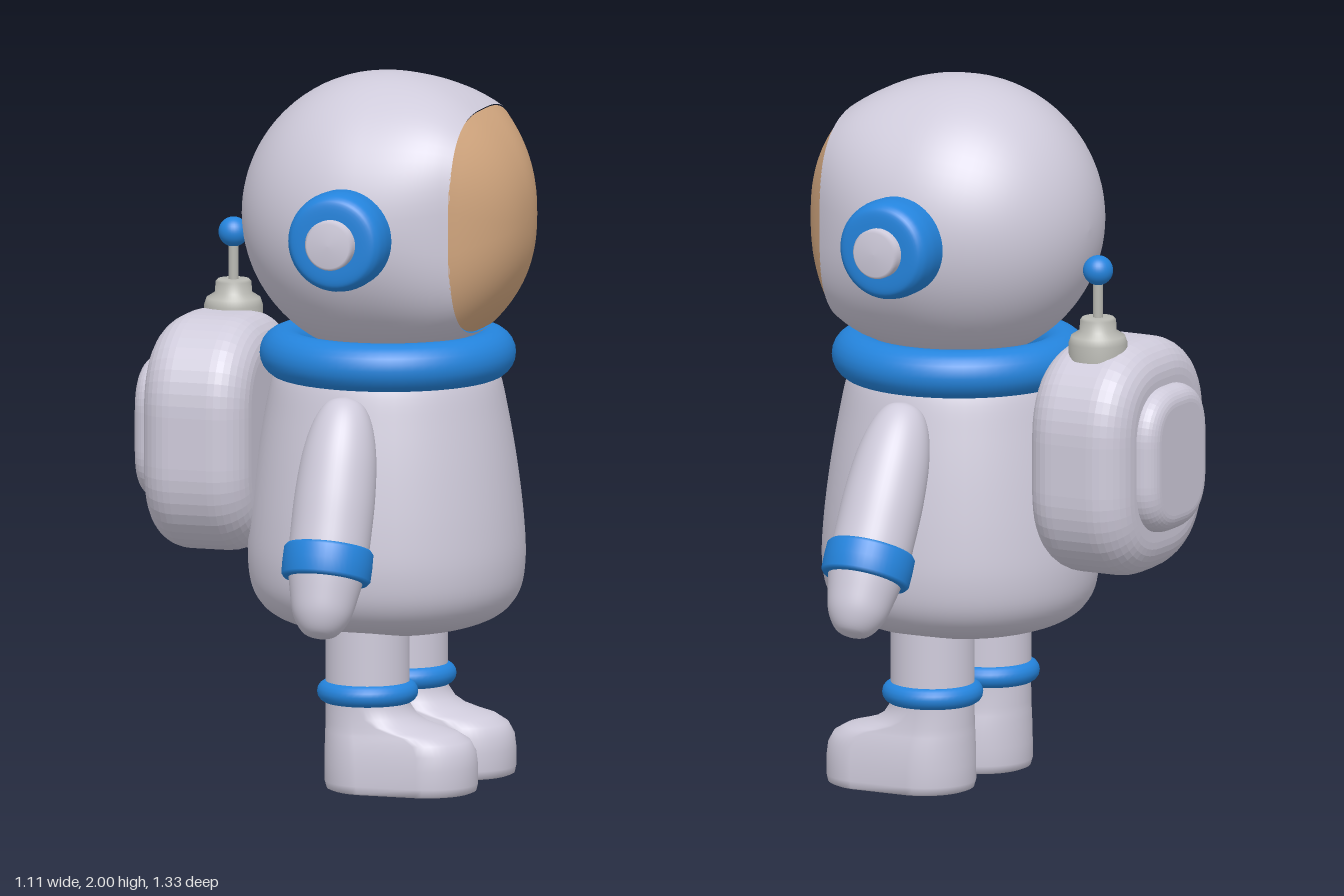
import * as THREE from 'three';

const mat = (color) => new THREE.MeshStandardMaterial({ color });
const suit = mat(0xcfcbdb), blue = mat(0x2484dd), tan = mat(0xd4a880), metal = mat(0xb9b9b3);
const CX = 0.135, CZ = 0.025; // the figure's upright axis; it looks towards +x

function add(parent, name, geometry, material, x = 0, y = 0, z = 0) {
  const mesh = new THREE.Mesh(geometry, material);
  mesh.name = name;
  mesh.position.set(x, y, z);
  parent.add(mesh);
  return mesh;
}

// Turned part from [radius, height] pairs listed upwards, optionally smoothed
function turned(pairs, smooth = true) {
  const pts = pairs.map(([r, y]) => new THREE.Vector2(r, y));
  const profile = smooth ? new THREE.SplineCurve(pts).getPoints(pts.length * 5) : pts;
  profile.forEach((p) => { p.x = Math.max(p.x, 0); });
  return new THREE.LatheGeometry(profile, 48);
}

// Skin over closed rings that turn right-handed about the direction of travel
function loft(rings) {
  const n = rings[0].length, index = [];
  for (let i = 0; i < rings.length - 1; i++) {
    for (let j = 0; j < n; j++) {
      const k = (j + 1) % n;
      const a = i * n + j, b = i * n + k, c = a + n, d = b + n;
      index.push(a, b, d, a, d, c);
    }
  }
  const g = new THREE.BufferGeometry();
  g.setAttribute('position', new THREE.Float32BufferAttribute(rings.flat(2), 3));
  g.setIndex(index);
  g.computeVertexNormals();
  return g;
}

// Superellipse ring across x: exponent 2 is round, higher is squarer
function headRing(x, ry, rz, e) {
  const bend = (v) => Math.sign(v) * Math.abs(v) ** (2 / e);
  return Array.from({ length: 72 }, (_, j) => {
    const t = (j / 72) * Math.PI * 2;
    return [x, ry * bend(Math.cos(t)), rz * bend(Math.sin(t))];
  });
}

// Level stadium ring for the boots
function bootRing([y, back, front, w]) {
  const straight = Math.max(0, (front - back) / 2 - w);
  return Array.from({ length: 48 }, (_, j) => {
    const t = ((j + 0.5) / 48) * Math.PI * 2, s = Math.sin(t);
    return [(back + front) / 2 + w * s + Math.sign(s) * straight, y, w * Math.cos(t)];
  });
}

// Cushion with rounded corners and soft edges, its thickness along +x
function cushion(width, height, depth, corner, bevel) {
  const a = width / 2 - bevel, b = height / 2 - bevel, r = corner;
  const s = new THREE.Shape();
  s.moveTo(-a + r, -b);
  s.lineTo(a - r, -b);
  s.quadraticCurveTo(a, -b, a, -b + r);
  s.lineTo(a, b - r);
  s.quadraticCurveTo(a, b, a - r, b);
  s.lineTo(-a + r, b);
  s.quadraticCurveTo(-a, b, -a, b - r);
  s.lineTo(-a, -b + r);
  s.quadraticCurveTo(-a, -b, -a + r, -b);
  const g = new THREE.ExtrudeGeometry(s, {
    depth: depth - 2 * bevel, bevelThickness: bevel, bevelSize: bevel, bevelSegments: 8, curveSegments: 12,
  });
  return g.translate(0, 0, bevel).rotateY(Math.PI / 2);
}

function buildHead(root) {
  const head = new THREE.Group();
  head.name = 'head';
  head.position.set(CX, 1.6, CZ);
  root.add(head);

  // Round at the back, squaring off towards the visor opening
  const rings = [];
  for (let i = 0; i <= 20; i++) {
    const t = (i / 20) * Math.PI / 2;
    rings.push(headRing(-0.405 * Math.cos(t), 0.4 * Math.sin(t), 0.39 * Math.sin(t), 2));
  }
  for (let i = 1; i <= 12; i++) {
    const u = i / 12, x = 0.285 * u, k = Math.sqrt(1 - (x / 0.455) ** 2);
    rings.push(headRing(x, 0.4 * k, 0.395 * k - 0.005, 2 + 0.9 * u * u));
  }
  add(head, 'helmet', loft(rings), suit);

  const dome = [];
  for (let i = 0; i <= 14; i++) {
    const r = 1 - i / 14;
    dome.push(headRing(0.283 + 0.132 * (1 - r ** 2.4), 0.308 * r, 0.305 * r, 2 + 0.9 * r));
  }
  add(head, 'visor', loft(dome), tan);

  // Ear discs with a cap on each side
  const disc = turned([[0.135, -0.08], [0.14, 0], [0.14, 0.045], [0.13, 0.08], [0.1, 0.095], [0, 0.095]]);
  const cap = turned([[0.07, 0.08], [0.07, 0.118], [0.062, 0.128], [0, 0.13]], false);
  for (const side of [1, -1]) {
    const ear = new THREE.Group();
    ear.name = 'earpiece';
    ear.position.set(0, -0.015, side * 0.385);
    ear.rotation.x = side * Math.PI / 2;
    add(ear, 'earDisc', disc, blue);
    add(ear, 'earCap', cap, suit);
    head.add(ear);
  }
}

function buildBody(root) {
  add(root, 'torso', turned([
    [0, 0.43], [0.12, 0.432], [0.23, 0.445], [0.32, 0.48], [0.37, 0.54], [0.387, 0.63],
    [0.382, 0.75], [0.364, 0.9], [0.34, 1.04], [0.315, 1.15], [0.28, 1.21],
  ]), suit, CX, 0, CZ);
  const collar = new THREE.TorusGeometry(0.288, 0.069, 24, 72).rotateX(Math.PI / 2);
  add(root, 'collar', collar, blue, CX + 0.003, 1.21, CZ);
}

function buildArms(root) {
  const sleeve = turned([
    [0, -0.213], [0.045, -0.2], [0.078, -0.155], [0.095, -0.09], [0.11, 0], [0.113, 0.1],
    [0.112, 0.2], [0.103, 0.31], [0.082, 0.4], [0.05, 0.455], [0, 0.475],
  ]);
  const cuff = turned([
    [0.1, -0.047], [0.118, -0.047], [0.125, -0.038], [0.126, 0], [0.125, 0.038], [0.118, 0.047], [0.1, 0.047],
  ], false);
  // Each arm is placed by its cuff and swings out a little differently
  for (const [y, z, degrees] of [[0.69, 0.54, -20], [0.71, -0.52, 28]]) {
    const arm = new THREE.Group();
    arm.name = 'arm';
    arm.position.set(CX, y, z);
    arm.rotation.x = THREE.MathUtils.degToRad(degrees);
    add(arm, 'sleeve', sleeve, suit);
    add(arm, 'cuff', cuff, blue);
    root.add(arm);
  }
}

function buildLegs(root) {
  const shin = new THREE.CylinderGeometry(0.117, 0.117, 0.3, 40);
  const band = new THREE.TorusGeometry(0.11, 0.031, 16, 48).rotateX(Math.PI / 2);
  // Boot levels: height, heel x, toe x, half width
  const boot = loft([
    [0.005, 0.23, 0.24, 0.005], [0.005, 0.035, 0.435, 0.125], [0.01, 0.022, 0.447, 0.136], [0.03, 0.016, 0.452, 0.139],
    [0.08, 0.016, 0.452, 0.138], [0.12, 0.016, 0.447, 0.134], [0.15, 0.017, 0.43, 0.129], [0.17, 0.017, 0.395, 0.124],
    [0.18, 0.018, 0.355, 0.122], [0.195, 0.018, 0.308, 0.12], [0.215, 0.018, 0.275, 0.118], [0.245, 0.018, 0.254, 0.116],
    [0.28, 0.018, 0.25, 0.116],
  ].map(bootRing));
  for (const z of [0.191, -0.141]) {
    const leg = new THREE.Group();
    leg.name = 'leg';
    leg.position.z = z;
    add(leg, 'shin', shin, suit, CX, 0.4, 0);
    add(leg, 'ankleBand', band, blue, CX, 0.28, 0);
    add(leg, 'boot', boot, suit);
    root.add(leg);
  }
}

function buildBackpack(root) {
  const pack = new THREE.Group();
  pack.name = 'backpack';
  root.add(pack);
  add(pack, 'packBody', cushion(0.575, 0.66, 0.31, 0.16, 0.1), suit, -0.502, 0.97, 0.047);
  add(pack, 'packPocket', cushion(0.345, 0.41, 0.14, 0.1, 0.05), suit, -0.555, 0.975, 0.043);

  // Antenna on top, set to one side
  const antenna = new THREE.Group();
  antenna.name = 'antenna';
  antenna.position.set(-0.344, 0, -0.06);
  pack.add(antenna);
  add(antenna, 'antennaBase', turned([
    [0.082, 1.26], [0.082, 1.305], [0.075, 1.325], [0.052, 1.34], [0.05, 1.37], [0.044, 1.377], [0, 1.377],
  ], false), metal);
  add(antenna, 'antennaRod', new THREE.CylinderGeometry(0.014, 0.014, 0.13, 20), metal, 0, 1.425, 0);
  add(antenna, 'antennaBall', new THREE.SphereGeometry(0.042, 32, 20), blue, 0, 1.51, 0);
}

export function createModel() {
  const root = new THREE.Group();
  root.name = 'astronaut';
  buildHead(root);
  buildBody(root);
  buildArms(root);
  buildLegs(root);
  buildBackpack(root);
  return root;
}
